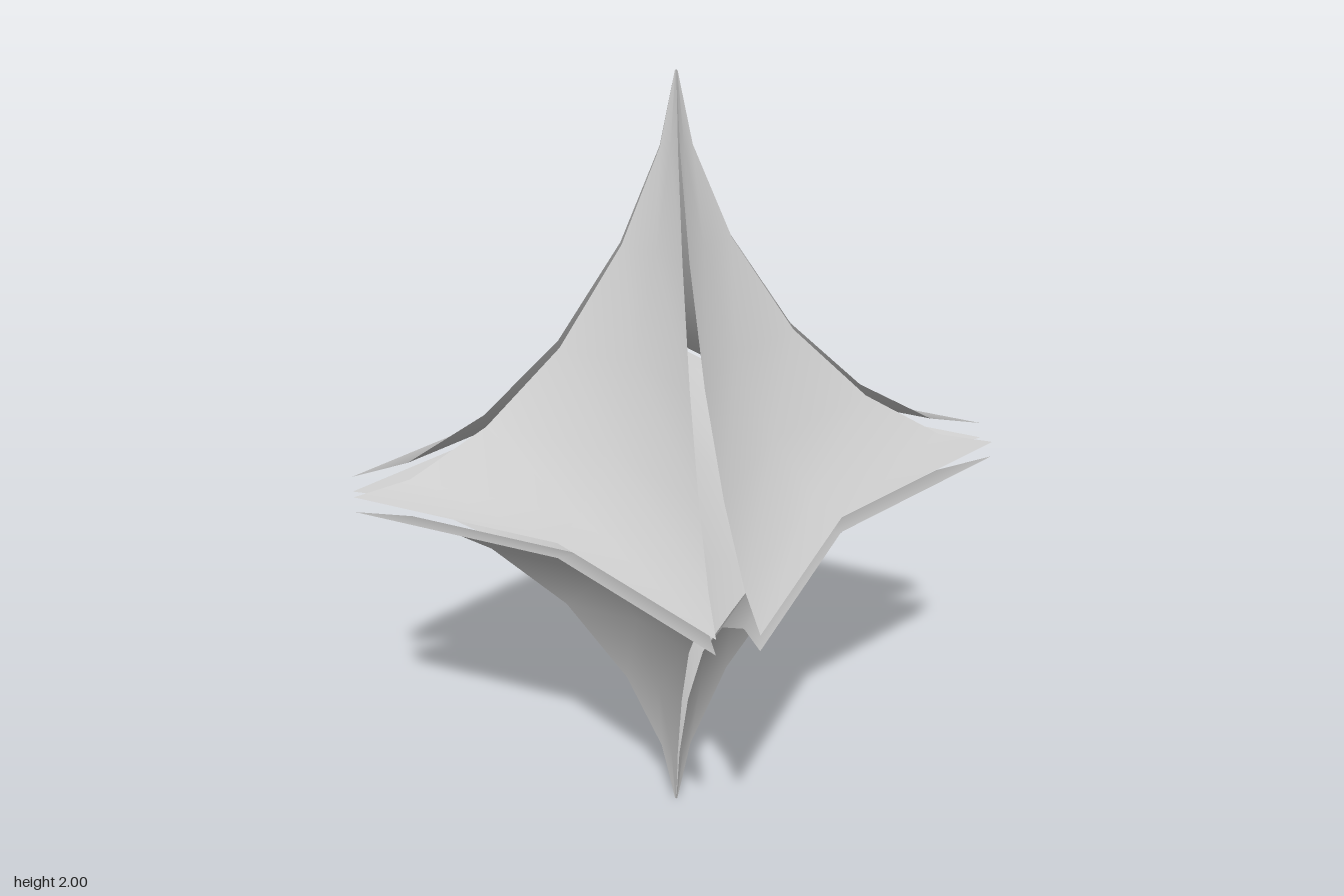
import * as THREE from 'three';

// Rows of one shell from the equator to the pole: [radius, height above centre]
const ROWS = [
  [0.77, 0.02], [0.637, 0.05], [0.453, 0.167], [0.275, 0.352],
  [0.127, 0.595], [0.037, 0.825], [0.003, 1],
];
// Columns of one shell: x and z as fractions of the row radius
const COLUMNS = [[1, 0.062], [0.427, 0.427], [0.062, 1]];

// One concave, open eighth of the star, mirrored by the three signs
function shellGeometry(sx, sy, sz) {
  const positions = [];
  const indices = [];
  const n = COLUMNS.length;
  for (const [r, y] of ROWS) {
    for (const [cx, cz] of COLUMNS) positions.push(sx * r * cx, 1 + sy * y, sz * r * cz);
  }
  const mirrored = sx * sy * sz < 0;
  const triangle = (a, b, c) => indices.push(a, ...(mirrored ? [c, b] : [b, c]));
  for (let i = 0; i < ROWS.length - 1; i++) {
    for (let j = 0; j < n - 1; j++) {
      const a = i * n + j;
      triangle(a, a + n, a + 1);
      triangle(a + 1, a + n, a + n + 1);
    }
  }
  const geometry = new THREE.BufferGeometry();
  geometry.setAttribute('position', new THREE.Float32BufferAttribute(positions, 3));
  geometry.setIndex(indices);
  geometry.computeVertexNormals();
  return geometry;
}

export function createModel() {
  const star = new THREE.Group();
  star.name = 'astroidStar';
  const material = new THREE.MeshStandardMaterial({ color: 0xcccccc, side: THREE.DoubleSide });

  // Eight separate shells, one in each octant
  for (const sy of [1, -1]) {
    for (const sz of [1, -1]) {
      for (const sx of [1, -1]) {
        const shell = new THREE.Mesh(shellGeometry(sx, sy, sz), material);
        shell.name = (sy > 0 ? 'upper' : 'lower') + (sz > 0 ? 'Front' : 'Back') + (sx > 0 ? 'Left' : 'Right') + 'Shell';
        star.add(shell);
      }
    }
  }
  return star;
}
